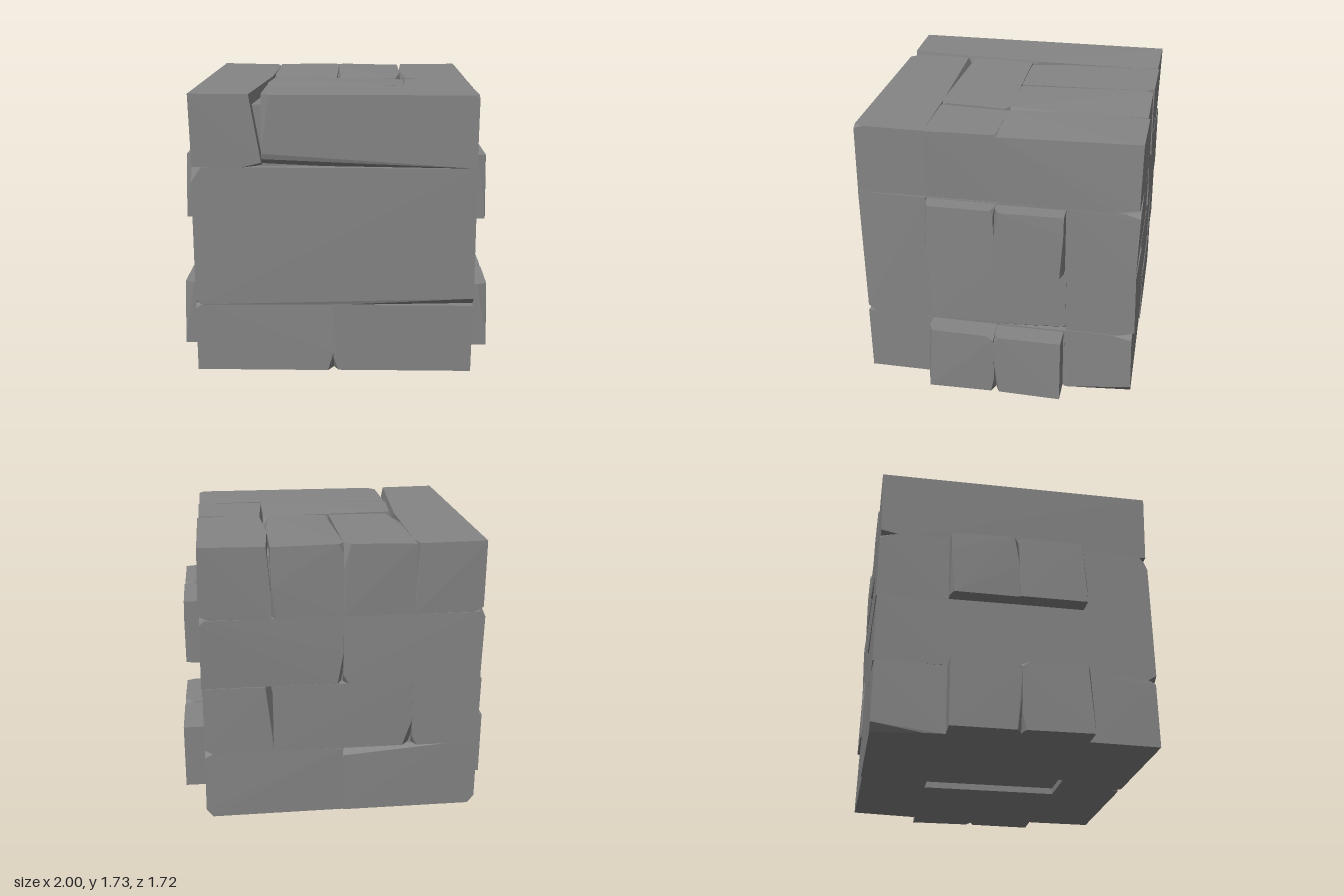
import * as THREE from 'three';
import { ConvexGeometry } from 'three/addons/geometries/ConvexGeometry.js';

const W = 0.86, H = 1.73, Q = 0.43, Y2 = 0.86, Y3 = 1.29;

export function createModel() {
  const group = new THREE.Group();
  const stone = new THREE.MeshStandardMaterial({ color: 0x858585, flatShading: true });

  // Small seeded unevenness for hewn corners
  let seed = 7;
  const rough = () => {
    seed = (seed * 16807) % 2147483647;
    return (seed / 2147483647) * 0.015;
  };

  // A brick with some corners cut off; chips are keyed by corner signs (x, y, z)
  // and give the length of the cut along each axis
  function brick(name, x, y, z, chips = {}) {
    const points = [];
    for (const i of [0, 1]) for (const j of [0, 1]) for (const k of [0, 1]) {
      const key = '-+'[i] + '-+'[j] + '-+'[k];
      const p = new THREE.Vector3(x[i], y[j], z[k]);
      if (Math.abs(p.x) > 0.8) p.x -= Math.sign(p.x) * rough();
      if (Math.abs(p.z) > 0.8) p.z -= Math.sign(p.z) * rough();
      if (p.y > 1.6) p.y -= rough();
      const cut = chips[key];
      if (!cut) { points.push(p); continue; }
      points.push(
        p.clone().setX(p.x + (i ? -1 : 1) * cut[0]),
        p.clone().setY(p.y + (j ? -1 : 1) * cut[1]),
        p.clone().setZ(p.z + (k ? -1 : 1) * cut[2]));
    }
    const mesh = new THREE.Mesh(new ConvexGeometry(points), stone);
    mesh.name = name;
    group.add(mesh);
  }

  // Solid core that closes the bottom of every joint
  const core = new THREE.Mesh(new THREE.BoxGeometry(1.6, 1.62, 1.6), stone);
  core.position.y = 0.85;
  core.name = 'core';
  group.add(core);

  // Bottom course, with an open slot in the middle of the underside
  const b = [0, Q];
  brick('bottomFrontRight', [-W, 0], b, [Q, W], { '+-+': [0.035, 0.12, 0.06], '-++': [0.04, 0.03, 0.05] });
  brick('bottomFrontLeft', [0, W], b, [Q, W], { '--+': [0.03, 0.08, 0.06] });
  brick('bottomMiddleRight', [-W, -0.15], b, [-Q, Q]);
  brick('bottomMiddleLeft', [0.15, W], b, [-Q, Q]);
  brick('bottomBackRight', [-W, 0], b, [-W, -Q], { '++-': [0.65, 0.05, 0.07], '---': [0.04, 0.05, 0.3] });
  brick('bottomBackLeft', [0, W], b, [-W, -Q], { '++-': [0.06, 0.03, 0.12], '+--': [0.04, 0.05, 0.4] });

  // Two middle courses: one tall front slab, solid sides, small bricks behind
  brick('frontSlab', [-W, W], [Q, Y3], [Q, W], { '+-+': [0.8, 0.045, 0.05], '-++': [0.06, 0.09, 0.05], '--+': [0.04, 0.03, 0.05] });
  brick('middleSlab', [-W, W], [Q, Y3], [-Q, Q], { '+--': [0.04, 0.03, 0.43], '--+': [0.04, 0.03, 0.43] });
  brick('lowerBackLeft', [Q, W], [Q, Y2], [-W - 0.004, -Q], { '-+-': [0.045, 0.38, 0.07], '+--': [0.05, 0.03, 0.1] });
  brick('lowerBackMiddle', [-Q, Q], [Q, Y2], [-W, -Q], { '---': [0.06, 0.17, 0.07] });
  brick('lowerBackRight', [-W, -Q], [Q, Y2], [-W, -Q], { '+--': [0.03, 0.06, 0.06] });
  brick('upperBackLeft', [0, W], [Y2, Y3], [-W, -Q], { '---': [0.035, 0.2, 0.07], '++-': [0.03, 0.03, 0.1] });
  brick('upperBackRight', [-W, 0], [Y2, Y3], [-W, -Q], { '+--': [0.03, 0.06, 0.06], '-+-': [0.04, 0.03, 0.1] });

  // Top course: bricks laid around a central one
  const t = [Y3, H];
  brick('topRight', [-W, -Q], t, [-W, W], { '+++': [0.07, 0.4, 0.9], '+-+': [0.12, 0.03, 0.08], '++-': [0.02, 0.3, 0.1], '---': [0.05, 0.03, 0.15] });
  brick('topBackMiddleRight', [-Q, 0], t, [-W, 0], { '-++': [0.05, 0.07, 0.29], '++-': [0.04, 0.15, 0.05] });
  brick('topBackMiddleLeft', [0, Q], t, [-W, 0], { '-++': [0.025, 0.05, 0.8], '-+-': [0.03, 0.06, 0.04], '+++': [0.04, 0.07, 0.35], '+--': [0.03, 0.2, 0.05] });
  brick('topBackLeft', [Q, W], t, [-W, 0], { '-++': [0.03, 0.06, 0.4], '-+-': [0.025, 0.3, 0.4], '+--': [0.06, 0.03, 0.15] });
  brick('topCentre', [-Q, Q], t, [0, Q], { '-+-': [0.025, 0.06, 0.3], '-++': [0.7, 0.05, 0.02], '+++': [0.06, 0.04, 0.03], '++-': [0.05, 0.06, 0.03] });
  brick('topLeft', [Q, W], t, [0, Q], { '-+-': [0.025, 0.06, 0.38] });
  brick('topFront', [-Q, W], t, [Q, W], { '-+-': [0.82, 0.05, 0.025], '--+': [1.15, 0.05, 0.07], '-++': [0.05, 0.35, 0.06], '+++': [0.03, 0.02, 0.05] });

  // Projecting bricks on both sides, each pair split by a notch
  for (const s of [-1, 1]) {
    const o = s > 0 ? '+' : '-';
    const span = (out) => (s > 0 ? [0.8, out] : [-out, -0.8]);
    const side = s > 0 ? 'left' : 'right';
    brick(side + 'UpperFront', span(0.965), [0.87, 1.285], [0, 0.42], { [o + '+-']: [0.06, 0.03, 0.02], [o + '++']: [0.06, 0.3, 0.02] });
    brick(side + 'UpperBack', span(0.965), [0.87, 1.28], [-0.42, 0], { [o + '++']: [0.06, 0.2, 0.03], [o + '--']: [0.05, 0.3, 0.02] });
    brick(side + 'LowerFront', span(1.0), [0, 0.425], [0, 0.42], { [o + '--']: [0.05, 0.1, 0.02], [o + '++']: [0.06, 0.35, 0.025], [o + '+-']: [0.06, 0.03, 0.05] });
    brick(side + 'LowerBack', span(1.0), [0, 0.42], [-0.42, 0], { [o + '-+']: [0.06, 0.22, 0.03], [o + '++']: [0.06, 0.06, 0.03] });
  }

  return group;
}
